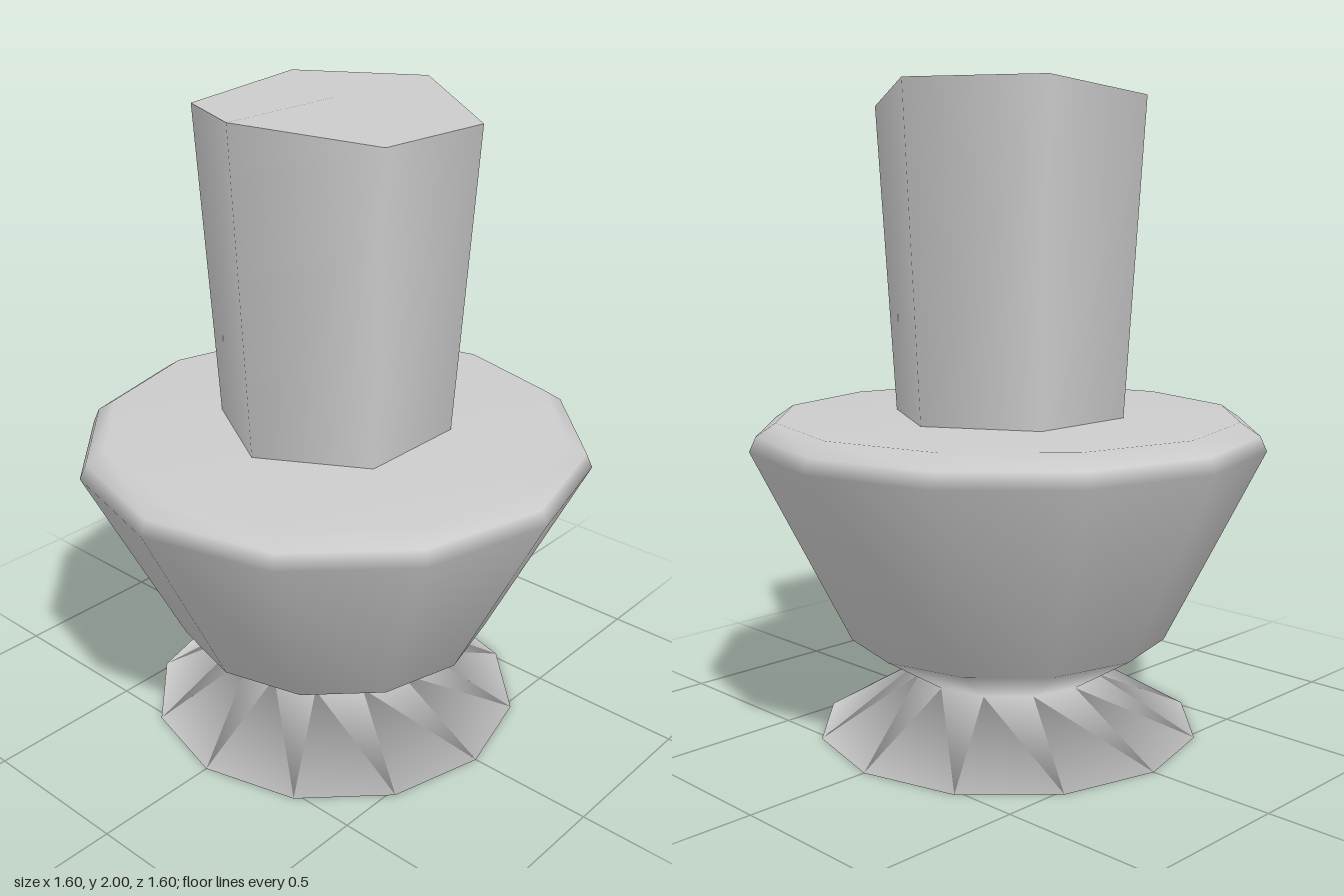
import * as THREE from 'three';

export function createModel() {
  const group = new THREE.Group();
  const material = new THREE.MeshStandardMaterial({ color: 0xcccccc });

  // Twelve-sided turned body: flared foot, narrow neck, bowl and bevelled rim
  const profile = [
    [0, 0], [0.6, 0], [0.29, 0.18], [0.5, 0.31],
    [0.8, 0.915], [0.78, 0.96], [0.72, 1], [0, 1],
  ].map(([r, y]) => new THREE.Vector2(r, y));
  const body = new THREE.Mesh(new THREE.LatheGeometry(profile, 12), material);
  body.name = 'body';
  group.add(body);

  // Six-sided post, widening upwards, with an uneven cut top
  const postGeometry = new THREE.CylinderGeometry(0.425, 0.365, 1, 6);
  postGeometry.translate(0, 1.5, 0);
  const topHeights = [2, 1.955, 1.945, 2, 2, 1.965]; // from the front corner, towards +x
  const p = postGeometry.attributes.position;
  for (let i = 0; i < p.count; i++) {
    const x = p.getX(i), z = p.getZ(i);
    if (p.getY(i) < 1.5 || Math.hypot(x, z) < 0.1) continue;
    const corner = (Math.round(Math.atan2(x, z) / (Math.PI / 3)) + 6) % 6;
    p.setY(i, topHeights[corner]);
  }
  const post = new THREE.Mesh(postGeometry, material);
  post.name = 'post';
  group.add(post);

  return group;
}
